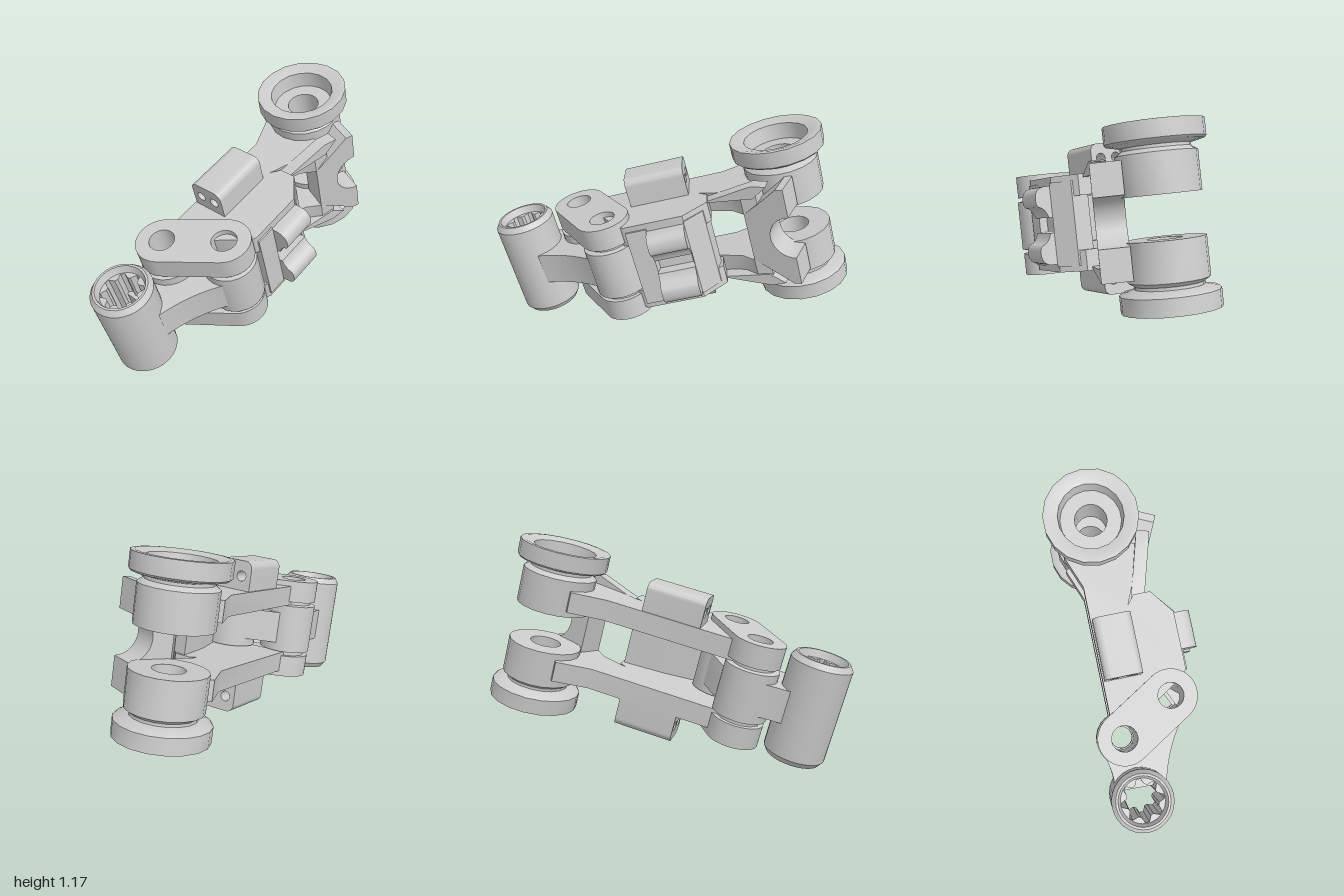
import * as THREE from 'three';
import { toCreasedNormals } from 'three/addons/utils/BufferGeometryUtils.js';

const mat = new THREE.MeshStandardMaterial({ color: 0xcccccc, side: THREE.DoubleSide });

function add(parent, name, geo, x = 0, y = 0, z = 0) {
  const m = new THREE.Mesh(toCreasedNormals(geo, 0.6), mat);
  m.name = name;
  m.position.set(x, y, z);
  parent.add(m);
  return m;
}
// Plan outline from [x, z] points
const plan = (pts) => new THREE.Shape(pts.map(([x, z]) => new THREE.Vector2(x, -z)));

function hole(shape, x, y, r) {
  const p = new THREE.Path();
  p.absarc(x, y, r, 0, Math.PI * 2, true);
  shape.holes.push(p);
}
// Plan outline raised from y0 to y1
function slab(shape, y0, y1) {
  const g = new THREE.ExtrudeGeometry(shape, { depth: y1 - y0, bevelEnabled: false, curveSegments: 10 });
  return g.rotateX(-Math.PI / 2).translate(0, y0, 0);
}
const lathe = (pts, seg = 24) => new THREE.LatheGeometry(pts.map(([r, y]) => new THREE.Vector2(r, y)), seg);

// Rounded outline around two pivots
function stadium(a, b, r) {
  const s = new THREE.Shape();
  const t = Math.atan2(-(b[1] - a[1]), b[0] - a[0]);
  s.absarc(b[0], -b[1], r, t - Math.PI / 2, t + Math.PI / 2, false);
  s.absarc(a[0], -a[1], r, t + Math.PI / 2, t + Math.PI * 1.5, false);
  s.closePath();
  return s;
}

const P1 = [-0.15, 0.48], P2 = [0.13, 0.31]; // pivot pins
const CRANK = [-0.122, 0.81], HUB = [-0.095, -0.66];

// One cheek of the frame: plate, pivot ears, clamp block, hub and wheel
function cheek(lower) {
  const g = new THREE.Group();
  g.name = lower ? 'lowerCheek' : 'upperCheek';

  // Frame plate with the arm running back to the hub
  add(g, 'framePlate', slab(plan([
    [-0.2, 0.38], [-0.2, -0.34], [-0.27, -0.52], [-0.2, -0.56], [0.05, -0.54], [0.17, -0.5], [0.15, -0.42],
    [0.08, -0.36], [0.01, -0.2], [0.05, -0.25], [0.14, -0.25], [0.24, -0.12], [0.24, 0.19], [0.22, 0.22], [0.0, 0.36],
  ]), 0.14, 0.25));

  // Pivot ears, countersunk on the lower side
  const ears = stadium(P1, P2, 0.14);
  for (const p of [P1, P2]) hole(ears, p[0], -p[1], lower ? 0.12 : 0.068);
  add(g, 'pivotEars', slab(ears, 0.16, 0.28));
  if (lower) for (const p of [P1, P2])
    add(g, 'countersink', lathe([[0.12, 0.28], [0.06, 0.2], [0.06, 0.16], [0.12, 0.16]]), p[0], 0, p[1]);

  // Clamp block with two bores and rounded top edges
  const b = new THREE.Shape();
  b.moveTo(-0.1, 0.2);
  b.lineTo(0.1, 0.2);
  b.absarc(0.06, 0.365, 0.04, 0, Math.PI / 2, false);
  b.absarc(-0.06, 0.365, 0.04, Math.PI / 2, Math.PI, false);
  b.closePath();
  for (const x of [-0.045, 0.045]) hole(b, x, 0.325, 0.027);
  add(g, 'clampBlock', new THREE.ExtrudeGeometry(b, { depth: 0.32, bevelEnabled: false, curveSegments: 6 }), -0.093, 0, -0.15);

  // Hub, groove and dished wheel in one turned profile
  add(g, 'hubAndWheel', lathe([
    [0.085, 0.105], [0.2, 0.105], [0.2, 0.3], [0.17, 0.32], [0.17, 0.335], [0.235, 0.35], [0.245, 0.36],
    [0.245, 0.445], [0.225, 0.447], [0.17, 0.43], [0.16, 0.345], [0.085, 0.345], [0.085, 0.105],
  ], 18), HUB[0], 0, HUB[1]);

  // Sloped rib from the body up to the hub bracket
  const rib = new THREE.Shape([[0.24, 0.23], [0.52, 0.23], [0.6, 0.29], [0.52, 0.3]].map(([x, y]) => new THREE.Vector2(x, y)));
  const ribGeo = new THREE.ExtrudeGeometry(rib, { depth: 0.07, bevelEnabled: false });
  add(g, 'armRib', ribGeo.rotateY(1.3), -0.03, 0, 0);

  // Rounded hook on the side of the body
  const h = new THREE.Shape();
  h.moveTo(0.2, 0.04);
  h.lineTo(0.27, 0.04);
  h.quadraticCurveTo(0.285, 0.09, 0.32, 0.1);
  h.quadraticCurveTo(0.335, 0.11, 0.335, 0.14);
  h.quadraticCurveTo(0.335, 0.2, 0.28, 0.205);
  h.lineTo(0.2, 0.205);
  h.closePath();
  add(g, 'sideHook', new THREE.ExtrudeGeometry(h, { depth: 0.2, bevelEnabled: false, curveSegments: 6 }), 0, 0, -0.12);

  if (lower) g.scale.y = -1;
  return g;
}

export function createModel() {
  const root = new THREE.Group();
  root.name = 'linkage';
  const body = new THREE.Group();
  body.name = 'tiltedAssembly';
  body.position.set(0, 0.521, -0.0075);
  body.rotation.x = 0.253;
  root.add(body);

  body.add(cheek(false), cheek(true));

  // Side wall joining the two cheeks
  add(body, 'sideWall', slab(plan([
    [0.25, 0.19], [0.25, 0.08], [0.21, 0.07], [0.21, -0.11], [0.25, -0.12], [0.17, -0.22], [0.09, -0.24], [0.12, 0.0], [0.17, 0.19],
  ]), -0.22, 0.22));

  // Notched bracket joining the hubs
  const c = new THREE.Shape();
  c.moveTo(0, -0.14);
  c.lineTo(0.09, -0.2);
  c.lineTo(0.2, -0.28);
  c.lineTo(0.24, -0.28);
  c.lineTo(0.24, -0.13);
  c.absarc(0.24, 0, 0.12, -Math.PI / 2, Math.PI / 2, true);
  c.lineTo(0.24, 0.28);
  c.lineTo(0.2, 0.28);
  c.lineTo(0.09, 0.2);
  c.lineTo(0, 0.14);
  c.closePath();
  const cg = new THREE.ExtrudeGeometry(c, { depth: 0.15, bevelEnabled: false, curveSegments: 8 }).translate(0, 0, -0.15);
  add(body, 'hubBracket', cg, 0.15, 0, -0.42).rotation.y = 1.144;

  // Link plate from the crank sleeve to both barrels
  const l = new THREE.Shape();
  l.moveTo(-0.25, -0.75);
  l.quadraticCurveTo(-0.23, -0.65, -0.28, -0.52);
  l.lineTo(-0.2, -0.36);
  l.lineTo(0.07, -0.2);
  l.lineTo(0.26, -0.36);
  l.quadraticCurveTo(0.09, -0.52, 0.03, -0.76);
  l.closePath();
  for (const p of [P1, P2]) hole(l, p[0], -p[1], 0.08);
  add(body, 'linkPlate', slab(l, -0.088, 0.088));

  // Barrels with thin collars
  for (const p of [P1, P2])
    add(body, 'pivotBarrel', lathe([
      [0.068, -0.165], [0.115, -0.165], [0.115, -0.14], [0.145, -0.135], [0.145, 0.135],
      [0.115, 0.14], [0.115, 0.165], [0.068, 0.165], [0.068, -0.165],
    ]), p[0], 0, p[1]);

  // Crank sleeve with chamfered ends
  add(body, 'crankSleeve', lathe([
    [0.115, -0.235], [0.13, -0.28], [0.142, -0.28], [0.163, -0.25], [0.163, 0.25], [0.142, 0.28], [0.13, 0.28], [0.115, 0.235],
  ], 28), CRANK[0], 0, CRANK[1]);

  // Grooved socket inside the sleeve
  const ring = new THREE.Shape();
  ring.absarc(0, 0, 0.15, 0, Math.PI * 2, false);
  const teeth = [];
  for (let i = 0; i < 32; i++) {
    const a = (i - 0.5) * Math.PI / 16, r = i % 4 < 2 ? 0.112 : 0.085;
    teeth.push(new THREE.Vector2(r * Math.cos(a), r * Math.sin(a)));
  }
  ring.holes.push(new THREE.Path(teeth.reverse()));
  add(body, 'socket', slab(ring, -0.24, 0.24), CRANK[0], 0, CRANK[1]);

  return root;
}
